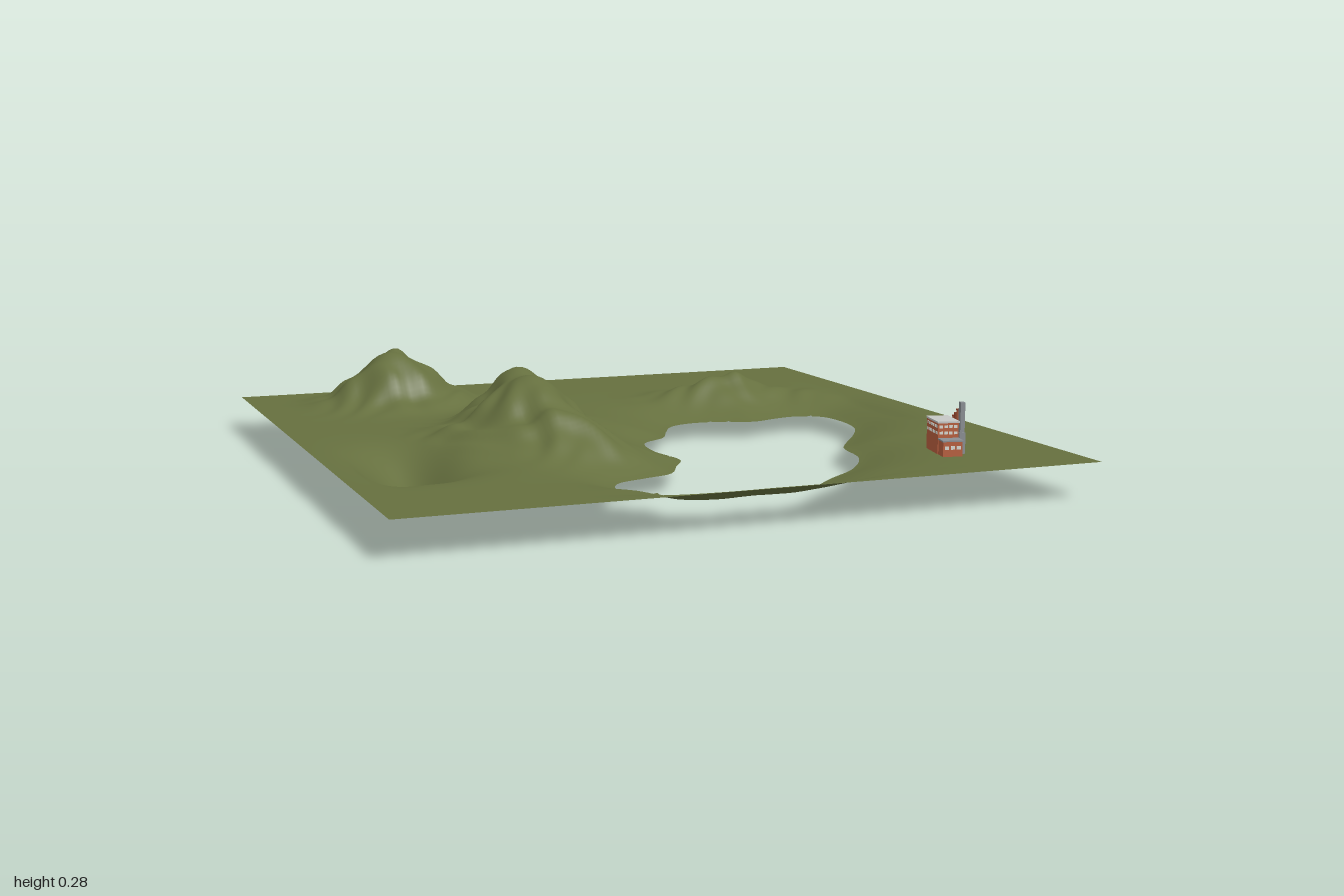
import * as THREE from 'three';

const mat = (name, color, side = THREE.FrontSide) => {
  const m = new THREE.MeshStandardMaterial({ color, side });
  m.name = name;
  return m;
};

const GROUND = 0.105;

// Hills and hollows: x, z, height, spread x, spread z
const HILLS = [
  [-0.57, -0.69, 0.165, 0.11, 0.11],
  [-0.51, -0.82, 0.085, 0.055, 0.045],
  [-0.4, -0.62, 0.03, 0.08, 0.09],
  [-0.31, 0.02, 0.17, 0.11, 0.125],
  [-0.29, -0.2, 0.135, 0.09, 0.075],
  [-0.27, 0.29, 0.085, 0.1, 0.1],
  [-0.5, 0.1, 0.035, 0.12, 0.16],
  [0.57, -0.48, 0.07, 0.1, 0.065],
  [0.38, -0.45, 0.03, 0.1, 0.08],
  [0.8, -0.38, 0.02, 0.05, 0.06],
  [-0.76, 0.28, -0.108, 0.08, 0.14],
  [-0.86, 0.42, -0.025, 0.04, 0.1],
  [-0.6, 0.4, -0.012, 0.09, 0.08],
];

// Lake outline as x, z pairs
const SHORE = [
  [0.18, -0.15], [0.235, -0.235], [0.325, -0.27], [0.42, -0.255], [0.52, -0.225],
  [0.6, -0.25], [0.685, -0.267], [0.765, -0.23], [0.785, -0.145], [0.77, -0.01],
  [0.715, 0.095], [0.62, 0.225], [0.57, 0.305], [0.54, 0.455], [0.44, 0.605],
  [0.325, 0.7], [0.2, 0.81], [0.13, 0.835], [0.02, 0.83], [-0.095, 0.84],
  [-0.175, 0.805], [-0.2, 0.73], [-0.28, 0.63], [-0.25, 0.555], [-0.155, 0.515],
  [-0.065, 0.48], [-0.005, 0.38], [0.04, 0.3], [0.02, 0.14], [0.045, 0.01], [0.13, -0.055],
];

function makeTerrain(material) {
  const curve = new THREE.CatmullRomCurve3(SHORE.map(([x, z]) => new THREE.Vector3(x, 0, z)), true);
  const shore = curve.getSpacedPoints(400).slice(0, 400);

  const nearest = (x, z) => {
    let best = Infinity, point = null;
    for (const p of shore) {
      const d = (p.x - x) ** 2 + (p.z - z) ** 2;
      if (d < best) { best = d; point = p; }
    }
    return { d: Math.sqrt(best), point };
  };
  const inLake = (x, z) => {
    let inside = false;
    shore.forEach((a, i) => {
      const b = shore[(i + 1) % shore.length];
      if ((a.z > z) !== (b.z > z) && x < a.x + ((z - a.z) / (b.z - a.z)) * (b.x - a.x)) inside = !inside;
    });
    return inside;
  };
  const heightAt = (x, z, d) => {
    let h = 0;
    for (const [hx, hz, height, sx, sz] of HILLS) {
      h += height * Math.exp(-0.5 * (((x - hx) / sx) ** 2 + ((z - hz) / sz) ** 2));
    }
    // Eroded gullies, only on the slopes
    if (h > 0) {
      const gully = Math.sin(x * 31 + 2 * Math.sin(z * 13)) * Math.sin(z * 27 + 2 * Math.sin(x * 17));
      h += gully * 0.4 * h * Math.max(0, 0.17 - h) / 0.17;
    }
    const edge = Math.min(1, (1 - Math.max(Math.abs(x), Math.abs(z))) / 0.1);
    const bank = Math.exp(-Math.pow(d / 0.13, 1.3));
    return GROUND + edge * (h * (1 - bank) - 0.053 * bank);
  };

  // Regular grid whose vertices snap to the shore
  const N = 140, cell = 2 / N;
  const geometry = new THREE.PlaneGeometry(2, 2, N, N).rotateX(-Math.PI / 2);
  const pos = geometry.attributes.position;
  for (let i = 0; i < pos.count; i++) {
    let x = pos.getX(i), z = pos.getZ(i);
    let { d, point } = nearest(x, z);
    if (d < cell * 0.6) { x = point.x; z = point.z; d = 0; }
    pos.setXYZ(i, x, Math.max(0, heightAt(x, z, d)), z);
  }
  // Leave the lake open
  const source = geometry.index.array, kept = [];
  for (let i = 0; i < source.length; i += 3) {
    const t = [source[i], source[i + 1], source[i + 2]];
    const cx = t.reduce((s, k) => s + pos.getX(k), 0) / 3;
    const cz = t.reduce((s, k) => s + pos.getZ(k), 0) / 3;
    if (!inLake(cx, cz)) kept.push(...t);
  }
  geometry.setIndex(kept);
  geometry.computeVertexNormals();
  const mesh = new THREE.Mesh(geometry, material);
  mesh.name = 'terrain';
  return mesh;
}

function makeFactory() {
  const brick = mat('brick', 0xb9603f);
  const rust = mat('rust', 0x9c4a30);
  const roof = mat('paleRoof', 0xc6c8c6);
  const steel = mat('steel', 0x8b8f94);
  const pane = mat('windowPane', 0xdcdcd4);

  const factory = new THREE.Group();
  factory.name = 'factory';
  const add = (name, geometry, material, x, y, z) => {
    const mesh = new THREE.Mesh(geometry, material);
    mesh.name = name;
    mesh.position.set(x, y, z);
    factory.add(mesh);
  };
  const box = (name, material, w, h, d, x, bottom, z) =>
    add(name, new THREE.BoxGeometry(w, h, d), material, x, bottom + h / 2, z);

  // Main hall and front annex
  box('hall', brick, 0.06, 0.088, 0.1, -0.004, 0, -0.018);
  box('hallRoof', roof, 0.064, 0.005, 0.104, -0.004, 0.088, -0.018);
  box('annex', brick, 0.056, 0.042, 0.042, -0.004, 0, 0.053);
  box('annexRoof', steel, 0.06, 0.004, 0.044, -0.004, 0.042, 0.054);

  // Window bands
  for (const y of [0.056, 0.074]) {
    for (let i = 0; i < 4; i++) {
      const x = -0.025 + i * 0.014;
      box('hallWindow', pane, 0.01, 0.008, 0.002, x, y, 0.032);
      box('hallWindow', pane, 0.01, 0.008, 0.002, x, y, -0.068);
    }
    for (let i = 0; i < 6; i++) box('sideWindow', pane, 0.002, 0.008, 0.01, -0.034, y, -0.058 + i * 0.016);
  }
  for (let i = 0; i < 3; i++) box('annexWindow', pane, 0.012, 0.01, 0.002, -0.021 + i * 0.017, 0.02, 0.074);

  // Chimney and columns along the side
  box('chimneyBase', steel, 0.018, 0.06, 0.02, 0.036, 0, 0.026);
  box('chimney', steel, 0.013, 0.146, 0.018, 0.036, 0, 0.026);
  [[0.002, 0.121], [-0.015, 0.108], [-0.031, 0.098], [-0.047, 0.088], [-0.06, 0.07]].forEach(([z, h], i) => {
    add('column', new THREE.CylinderGeometry(0.006, 0.007, h, 12), i % 2 ? rust : brick, 0.034, h / 2, z);
    add('columnCap', new THREE.CylinderGeometry(0.0065, 0.0065, 0.004, 12), rust, 0.034, h, z);
  });

  factory.position.set(0.682, GROUND - 0.002, 0.705);
  factory.rotation.y = -0.21;
  return factory;
}

export function createModel() {
  const model = new THREE.Group();
  model.name = 'lakeLandscape';
  model.add(makeTerrain(mat('grass', 0x66703f, THREE.DoubleSide)), makeFactory());
  return model;
}
